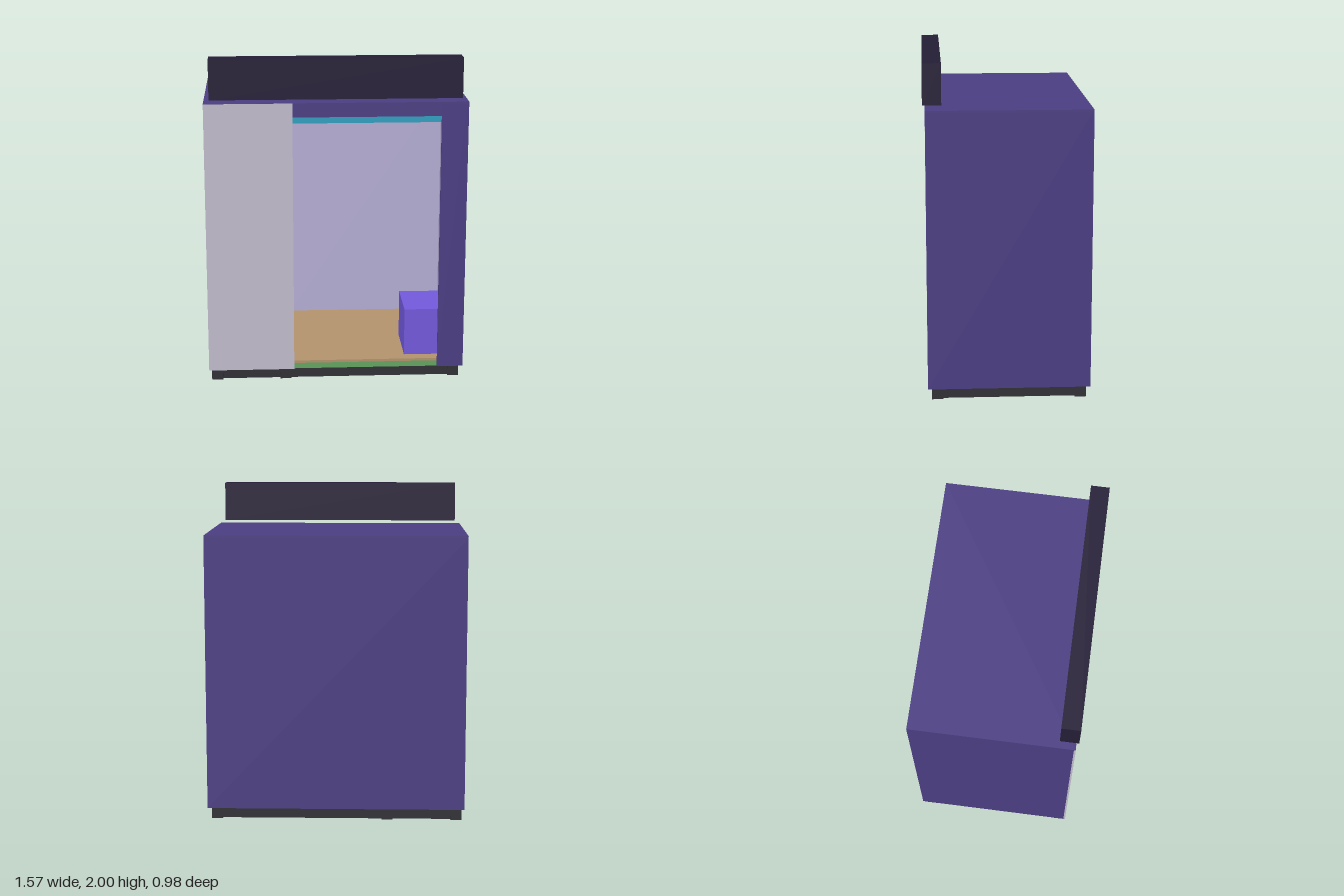
import * as THREE from 'three';

const mat = (color) => new THREE.MeshStandardMaterial({ color });
const M = {
  skin: mat(0x4b3d82), lining: mat(0xb5add3), panel: mat(0xc0bccc), sign: mat(0x241d36),
  steel: mat(0x313036), floor: mat(0xb2936c), joist: mat(0x62a562), ceiling: mat(0x2e9fbf),
  violet: mat(0x7259dc), red: mat(0x8c3a48), orange: mat(0x9a6434), block: mat(0xd6bd88),
};

export function createModel() {
  const model = new THREE.Group();

  // Box given by its low and high limits on each axis
  function box(name, m, [x0, x1], [y0, y1], [z0, z1], parent = model) {
    const mesh = new THREE.Mesh(new THREE.BoxGeometry(x1 - x0, y1 - y0, z1 - z0), M[m]);
    mesh.position.set((x0 + x1) / 2, (y0 + y1) / 2, (z0 + z1) / 2);
    mesh.name = name;
    parent.add(mesh);
    return mesh;
  }
  function group(name) {
    const g = new THREE.Group();
    g.name = name;
    model.add(g);
    return g;
  }
  // Rectangular ring of four beams lying flat
  function ring(name, m, [x0, x1], y, [z0, z1], t, parent) {
    for (const z of [z0, z1 - t]) box(name, m, [x0, x1], y, [z, z + t], parent);
    for (const x of [x0, x1 - t]) box(name, m, [x, x + t], y, [z0 + t, z1 - t], parent);
  }

  // Base frame with six feet
  const base = group('baseFrame');
  ring('baseBeam', 'steel', [-0.755, 0.745], [0.003, 0.06], [-0.455, 0.44], 0.045, base);
  for (const x of [-0.735, -0.315, 0.723])
    for (const z of [-0.432, 0.418])
      box('foot', 'steel', [x - 0.034, x + 0.034], [0, 0.07], [z - 0.034, z + 0.034], base);

  // Outer skin
  const shell = group('outerShell');
  const H = [0.07, 1.72];
  box('roof', 'skin', [-0.785, 0.78], [1.72, 1.735], [-0.49, 0.475], shell);
  box('backWall', 'skin', [-0.785, 0.78], H, [-0.49, -0.48], shell);
  box('leftWall', 'skin', [0.77, 0.78], H, [-0.48, 0.475], shell);
  box('rightWall', 'skin', [-0.785, -0.775], H, [-0.48, 0.465], shell);
  box('frontJamb', 'skin', [0.62, 0.77], H, [0.465, 0.475], shell);
  box('frontHeader', 'skin', [-0.262, 0.62], [1.65, 1.72], [0.465, 0.475], shell);
  box('frontPanel', 'panel', [-0.785, -0.262], [0.07, 1.734], [0.465, 0.476], shell);

  // Wall framing: bottom plates, top plates and studs
  const framing = group('wallFraming');
  for (const y of [[0.07, 0.105], [1.615, 1.65]]) {
    box('leftPlate', 'red', [0.745, 0.77], y, [-0.48, 0.46], framing);
    box('backPlate', 'orange', [-0.775, 0.745], y, [-0.48, -0.455], framing);
    box('rightPlate', 'violet', [-0.775, -0.745], y, [-0.455, 0.465], framing);
    box('frontPlate', 'violet', [-0.745, -0.3], y, [0.435, 0.465], framing);
  }
  for (const z of [-0.455, -0.01, 0.435])
    box('rightStud', 'violet', [-0.775, -0.745], [0.105, 1.615], [z, z + 0.03], framing);
  box('cornerPost', 'ceiling', [0.64, 0.68], [0.07, 1.61], [0.435, 0.465], framing);

  // Floor on joists
  const floor = group('floor');
  box('floorBoard', 'floor', [-0.262, 0.745], [0.105, 0.121], [-0.455, 0.465], floor);
  box('frontJoist', 'joist', [-0.262, 0.62], [0.07, 0.105], [0.43, 0.465], floor);
  box('backJoist', 'joist', [-0.262, 0.745], [0.07, 0.105], [-0.455, -0.42], floor);
  for (const x of [-0.23, 0.12, 0.47, 0.72])
    box('crossJoist', 'joist', [x - 0.015, x + 0.015], [0.07, 0.105], [-0.42, 0.43], floor);

  // Room lining and partition
  const room = group('roomLining');
  box('partition', 'panel', [-0.285, -0.262], [0.07, 1.65], [-0.455, 0.465], room);
  box('backLining', 'lining', [-0.262, 0.745], [0.121, 1.65], [-0.455, -0.443], room);
  box('leftLining', 'lining', [0.733, 0.745], [0.121, 1.65], [-0.443, 0.435], room);

  // Ceiling
  const ceiling = group('ceiling');
  ring('ceilingBeam', 'ceiling', [-0.262, 0.733], [1.612, 1.65], [-0.443, 0.465], 0.03, ceiling);
  box('ceilingBoard', 'lining', [-0.262, 0.745], [1.65, 1.662], [-0.455, 0.465], ceiling);

  // Cabinet standing in the room
  box('cabinet', 'violet', [0.423, 0.733], [0.121, 0.417], [0.05, 0.395]);

  // Equipment blocks in the closed compartment
  const equipment = group('equipment');
  for (const [x, z] of [[-0.43, 0.25], [-0.54, 0.03], [-0.66, -0.13]])
    box('equipmentBlock', 'block', [x - 0.06, x + 0.06], [0.12, 0.2], [z - 0.07, z + 0.07], equipment);

  // Long sign board above the front
  box('signBoard', 'sign', [-0.75, 0.74], [1.76, 2], [0.38, 0.49]);

  return model;
}
